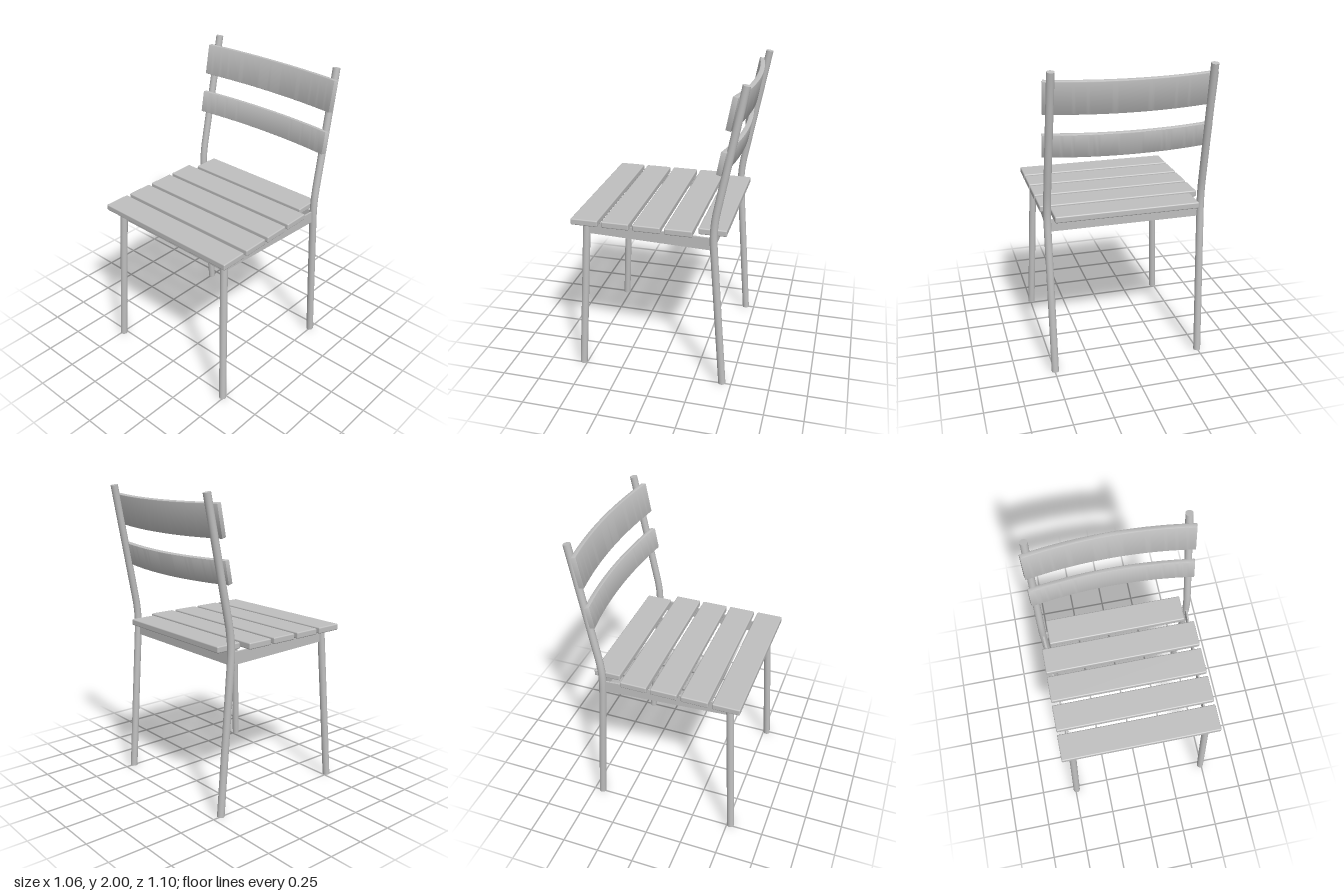
import * as THREE from 'three';
import { mergeGeometries, toCreasedNormals } from 'three/addons/utils/BufferGeometryUtils.js';
import { RoundedBoxGeometry } from 'three/addons/geometries/RoundedBoxGeometry.js';

const LEG_RADIUS = 0.024;

// Round bar along a curve, closed with a disc at each end
function capedBar(curve, segments) {
  const parts = [new THREE.TubeGeometry(curve, segments, LEG_RADIUS, 20, false)];
  for (const t of [0, 1]) {
    const outward = curve.getTangent(t).multiplyScalar(t ? 1 : -1);
    const cap = new THREE.CircleGeometry(LEG_RADIUS, 20);
    cap.applyQuaternion(new THREE.Quaternion().setFromUnitVectors(new THREE.Vector3(0, 0, 1), outward));
    const p = curve.getPoint(t);
    cap.translate(p.x, p.y, p.z);
    parts.push(cap);
  }
  return mergeGeometries(parts);
}

// Backrest slat: a bowed plank, hollow towards the front, with softened edges
function bowedSlat(halfWidth, sag, thickness, height) {
  const bevel = 0.006;
  const radius = (halfWidth ** 2 + sag ** 2) / (2 * sag);
  const a = Math.asin(halfWidth / radius);
  const cy = -radius * Math.cos(a);
  const shape = new THREE.Shape();
  shape.absarc(0, cy, radius + thickness, Math.PI / 2 - a, Math.PI / 2 + a, false);
  shape.absarc(0, cy, radius, Math.PI / 2 + a, Math.PI / 2 - a, true);
  shape.closePath();
  const geo = new THREE.ExtrudeGeometry(shape, {
    depth: height - 2 * bevel, curveSegments: 32,
    bevelEnabled: true, bevelSize: bevel, bevelThickness: bevel, bevelOffset: -bevel, bevelSegments: 2,
  });
  geo.translate(0, 0, bevel);
  geo.rotateX(-Math.PI / 2);
  return toCreasedNormals(geo, 0.6);
}

export function createModel() {
  const group = new THREE.Group();
  const grey = new THREE.MeshStandardMaterial({ color: 0xbfbfbf });
  grey.name = 'light grey';

  const add = (name, geometry, x = 0, y = 0, z = 0) => {
    const mesh = new THREE.Mesh(geometry, grey);
    mesh.name = name;
    mesh.position.set(x, y, z);
    group.add(mesh);
    return mesh;
  };

  // Flat rail standing on edge between two points in plan
  const rail = (name, x1, z1, x2, z2) => {
    const length = Math.hypot(x2 - x1, z2 - z1);
    const mesh = add(name, new THREE.BoxGeometry(length, 0.08, 0.012), (x1 + x2) / 2, 1.01, (z1 + z2) / 2);
    mesh.rotation.y = -Math.atan2(z2 - z1, x2 - x1);
  };

  // Legs and side rails, mirrored
  for (const [side, s] of [['left', 1], ['right', -1]]) {
    const v = (x, y, z) => new THREE.Vector3(s * x, y, z);
    add(side + 'FrontLeg', capedBar(new THREE.LineCurve3(v(0.492, 0, 0.525), v(0.45, 1.045, 0.467)), 1));

    // Back leg: straight below, gently bent at the seat, leaning back above
    const path = new THREE.CurvePath();
    path.add(new THREE.LineCurve3(v(0.497, 0, -0.44), v(0.503, 0.98, -0.367)));
    path.add(new THREE.QuadraticBezierCurve3(v(0.503, 0.98, -0.367), v(0.503, 1.1, -0.357), v(0.501, 1.22, -0.379)));
    path.add(new THREE.LineCurve3(v(0.501, 1.22, -0.379), v(0.486, 1.996, -0.527)));
    add(side + 'BackLeg', capedBar(path, 48));

    rail(side + 'SideRail', s * 0.45, 0.465, s * 0.502, -0.36);
  }
  rail('frontRail', -0.45, 0.465, 0.45, 0.465);
  rail('backRail', -0.502, -0.362, 0.502, -0.362);

  // Seat slats, the rearmost one shorter to fit between the back legs
  for (let i = 0; i < 5; i++) {
    const width = i === 4 ? 0.934 : 1.052;
    add('seatSlat' + (i + 1), new RoundedBoxGeometry(width, 0.042, 0.177, 2, 0.008), 0, 1.07, 0.461 - i * 0.2025);
  }

  // Backrest slats, tilted with the back legs
  const tilt = -0.185;
  add('upperBackSlat', bowedSlat(0.523, 0.05, 0.033, 0.205), 0, 1.741, -0.42).rotation.x = tilt;
  add('lowerBackSlat', bowedSlat(0.525, 0.048, 0.033, 0.149), 0, 1.47, -0.373).rotation.x = tilt;

  return group;
}
